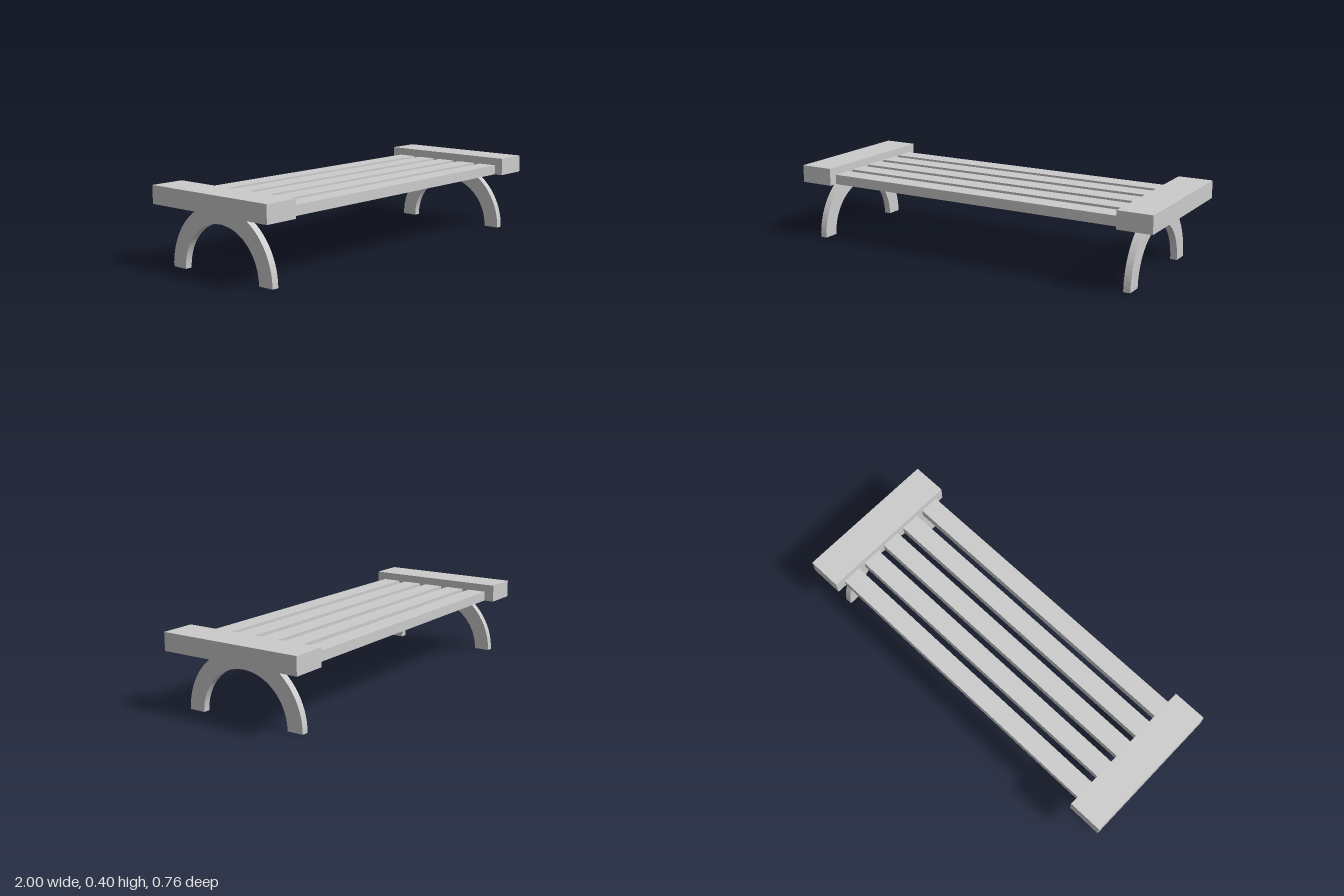
import * as THREE from 'three';

const grey = new THREE.MeshStandardMaterial({ color: 0xcccccc, flatShading: true });

function addBox(group, name, size, position) {
  const mesh = new THREE.Mesh(new THREE.BoxGeometry(...size), grey);
  mesh.name = name;
  mesh.position.set(...position);
  group.add(mesh);
}

// Half-ring arch standing on the ground, its thickness along x
function archGeometry(rx, ry, innerR, thickness) {
  const shape = new THREE.Shape();
  shape.absellipse(0, 0, rx, ry, 0, Math.PI, false);
  shape.lineTo(-innerR, 0);
  shape.absellipse(0, 0, innerR, innerR, Math.PI, 0, true);
  shape.closePath();
  const geometry = new THREE.ExtrudeGeometry(shape, {
    depth: thickness, bevelEnabled: false, curveSegments: 20,
  });
  return geometry.translate(0, 0, -thickness / 2).rotateY(Math.PI / 2);
}

export function createModel() {
  const group = new THREE.Group();
  group.name = 'bench';

  // End blocks
  for (const side of [-1, 1]) {
    addBox(group, side < 0 ? 'rightEndBlock' : 'leftEndBlock',
      [0.18, 0.091, 0.765], [side * 0.91, 0.3515, 0]);
  }

  // Seat slats, flush with the underside of the blocks
  for (let i = 0; i < 5; i++) {
    addBox(group, `seatSlat${i + 1}`, [1.64, 0.051, 0.101], [0, 0.3315, 0.004 + (i - 2) * 0.141]);
  }

  // Arched legs, their crowns set into the blocks
  const arch = archGeometry(0.333, 0.336, 0.248, 0.036);
  for (const [name, x] of [['rightArchLeg', -0.914], ['leftArchLeg', 0.866]]) {
    const leg = new THREE.Mesh(arch, grey);
    leg.name = name;
    leg.position.set(x, 0, 0.01);
    group.add(leg);
  }
  return group;
}
